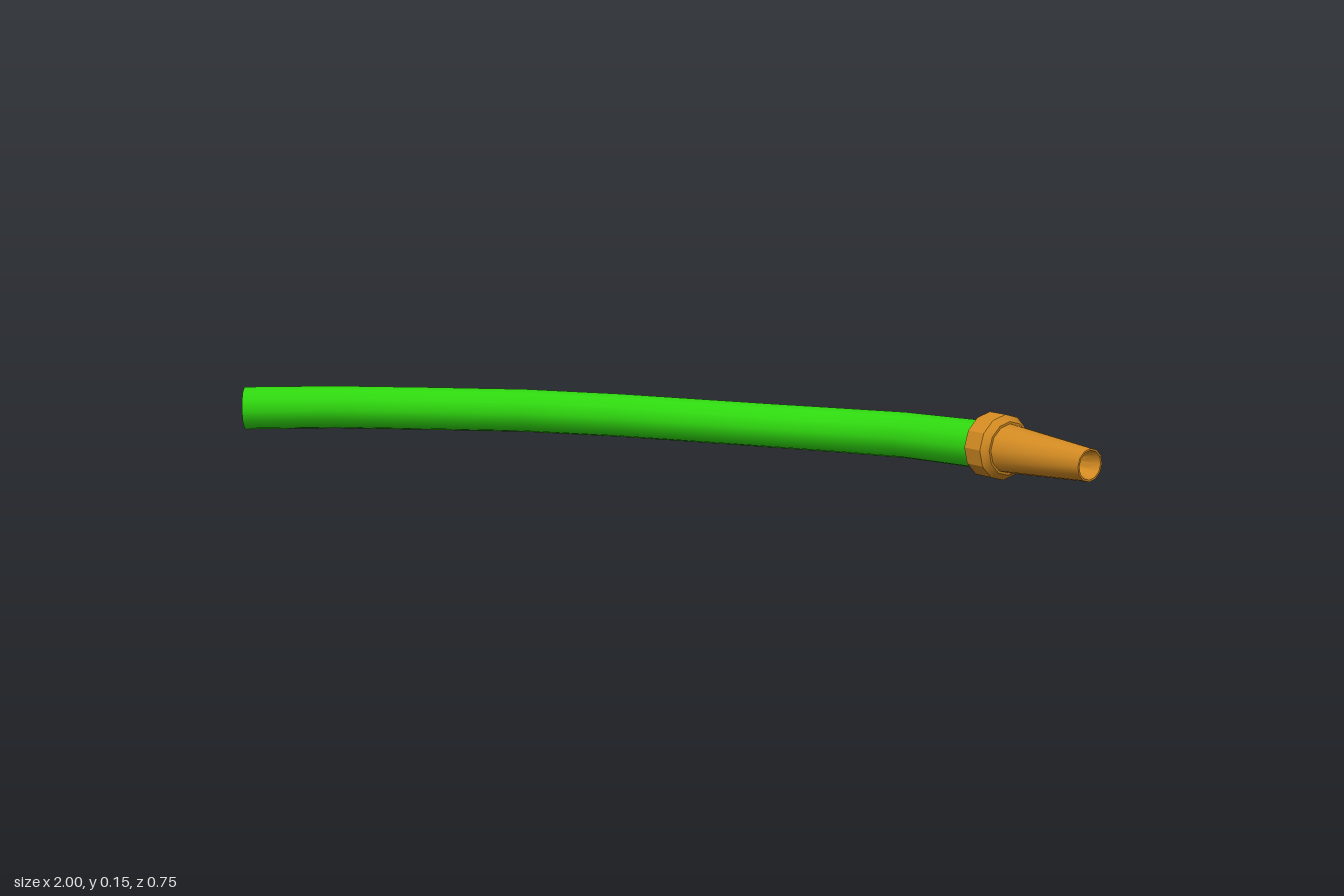
import * as THREE from 'three';
import { toCreasedNormals } from 'three/addons/utils/BufferGeometryUtils.js';

const SIDES = 12;
const HOSE_RADIUS = 0.052;

// Straight runs between the points, so the hose keeps its low-poly bends.
class BentPath extends THREE.Curve {
  constructor(points) {
    super();
    this.points = points;
  }
  getPointAt(u, target = new THREE.Vector3()) {
    const t = THREE.MathUtils.clamp(u, 0, 1) * (this.points.length - 1);
    const i = Math.min(Math.floor(t), this.points.length - 2);
    return target.lerpVectors(this.points[i], this.points[i + 1], t - i);
  }
  getTangentAt(u, target = new THREE.Vector3()) {
    const i = Math.round(u * (this.points.length - 1));
    const here = this.points[i];
    const before = this.points[i - 1], after = this.points[i + 1];
    target.set(0, 0, 0);
    if (before) target.add(here.clone().sub(before).normalize());
    if (after) target.add(after.clone().sub(here).normalize());
    return target.normalize();
  }
}

// Turned part along +x; the profile holds [radius, position] pairs.
function turned(name, profile, material, crease) {
  const points = profile.map(([r, along]) => new THREE.Vector2(r, along));
  const geometry = new THREE.LatheGeometry(points, SIDES).rotateZ(-Math.PI / 2);
  const mesh = new THREE.Mesh(toCreasedNormals(geometry, crease), material);
  mesh.name = name;
  return mesh;
}

export function createModel() {
  const model = new THREE.Group();
  model.name = 'gardenHose';

  const green = new THREE.MeshStandardMaterial({ color: 0x2fd80f, side: THREE.DoubleSide });
  green.name = 'hoseGreen';
  const brass = new THREE.MeshStandardMaterial({ color: 0xd28a22, side: THREE.DoubleSide });
  brass.name = 'brassOrange';

  // Hose lying on the ground in a long bend
  const path = [
    [-0.965, 0.0755, 0.333], [-0.8, 0.0755, 0.195], [-0.6, 0.0755, 0.082],
    [-0.4, 0.073, -0.042], [-0.2, 0.065, -0.155], [0, 0.057, -0.245],
    [0.14, 0.053, -0.298], [0.29, 0.054, -0.325], [0.48, 0.062, -0.315],
    [0.74, 0.078, -0.216],
  ].map((p) => new THREE.Vector3(...p));
  const curve = new BentPath(path);
  const hose = new THREE.Mesh(
    new THREE.TubeGeometry(curve, path.length - 1, HOSE_RADIUS, SIDES, false), green);
  hose.name = 'hose';
  model.add(hose);

  // Closed far end
  const end = new THREE.Mesh(new THREE.CircleGeometry(HOSE_RADIUS, SIDES), green);
  end.name = 'hoseEnd';
  end.position.copy(path[0]);
  end.lookAt(path[0].clone().multiplyScalar(2).sub(path[1]));
  model.add(end);

  // Spray head: bevelled collar and hollow tapered nozzle
  const head = new THREE.Group();
  head.name = 'sprayHead';
  head.position.set(0.75, 0.079, -0.212);
  head.rotation.y = -Math.atan2(0.095, 0.235);
  head.add(turned('collar', [
    [0, -0.03], [0.07, -0.03], [0.07, 0.016], [0.057, 0.03], [0, 0.03],
  ], brass, 0.4));
  head.add(turned('nozzle', [
    [0.053, 0.02], [0.034, 0.253], [0.03, 0.253], [0.019, 0.21], [0, 0.21],
  ], brass, 0.6));
  model.add(head);

  return model;
}
